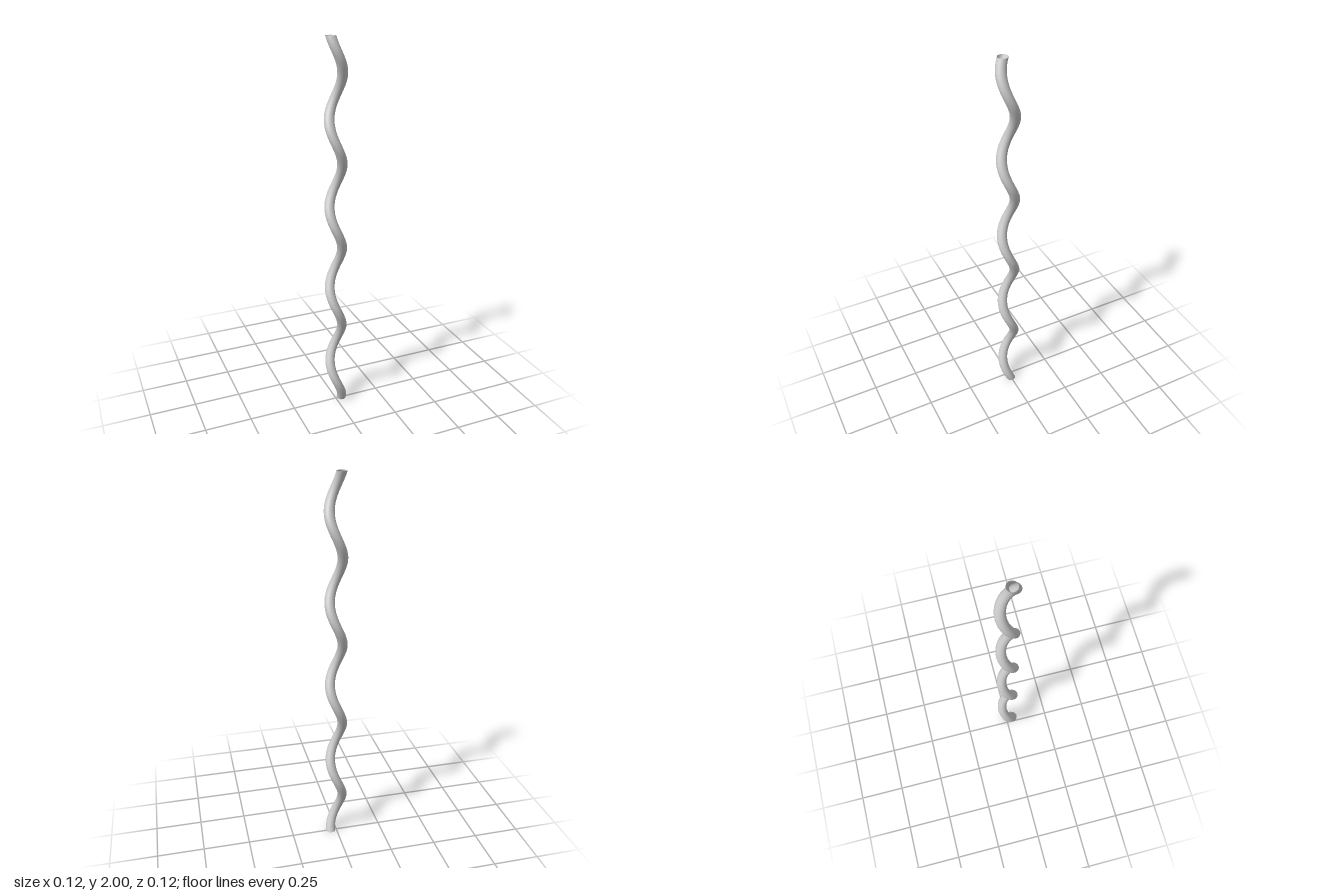
import * as THREE from 'three';

const HEIGHT = 2;
const PITCH = 0.45; // height of one full turn
const COIL = 0.0325; // distance of the rod's centre from the axis
const ROD = 0.026; // radius of the round horizontal section

export function createModel() {
  const group = new THREE.Group();
  group.name = 'spiralStake';

  // Open upright tube whose rings are shifted around the axis
  const geometry = new THREE.CylinderGeometry(ROD, ROD, HEIGHT, 32, 180, true);
  geometry.translate(0, HEIGHT / 2, 0);
  const position = geometry.attributes.position;
  const normal = geometry.attributes.normal;
  const n = new THREE.Vector3();
  const turn = (2 * Math.PI) / PITCH;

  for (let i = 0; i < position.count; i++) {
    const y = position.getY(i);
    const cos = Math.cos(turn * y);
    const sin = Math.sin(turn * y);
    position.setX(i, position.getX(i) + COIL * cos);
    position.setZ(i, position.getZ(i) + COIL * sin);

    // Tilt the normal with the slope of the spiral
    n.fromBufferAttribute(normal, i);
    n.y = COIL * turn * (n.x * sin - n.z * cos);
    n.normalize();
    normal.setXYZ(i, n.x, n.y, n.z);
  }

  const material = new THREE.MeshStandardMaterial({ color: 0xcccccc, side: THREE.DoubleSide });
  const rod = new THREE.Mesh(geometry, material);
  rod.name = 'spiralRod';
  group.add(rod);
  return group;
}
